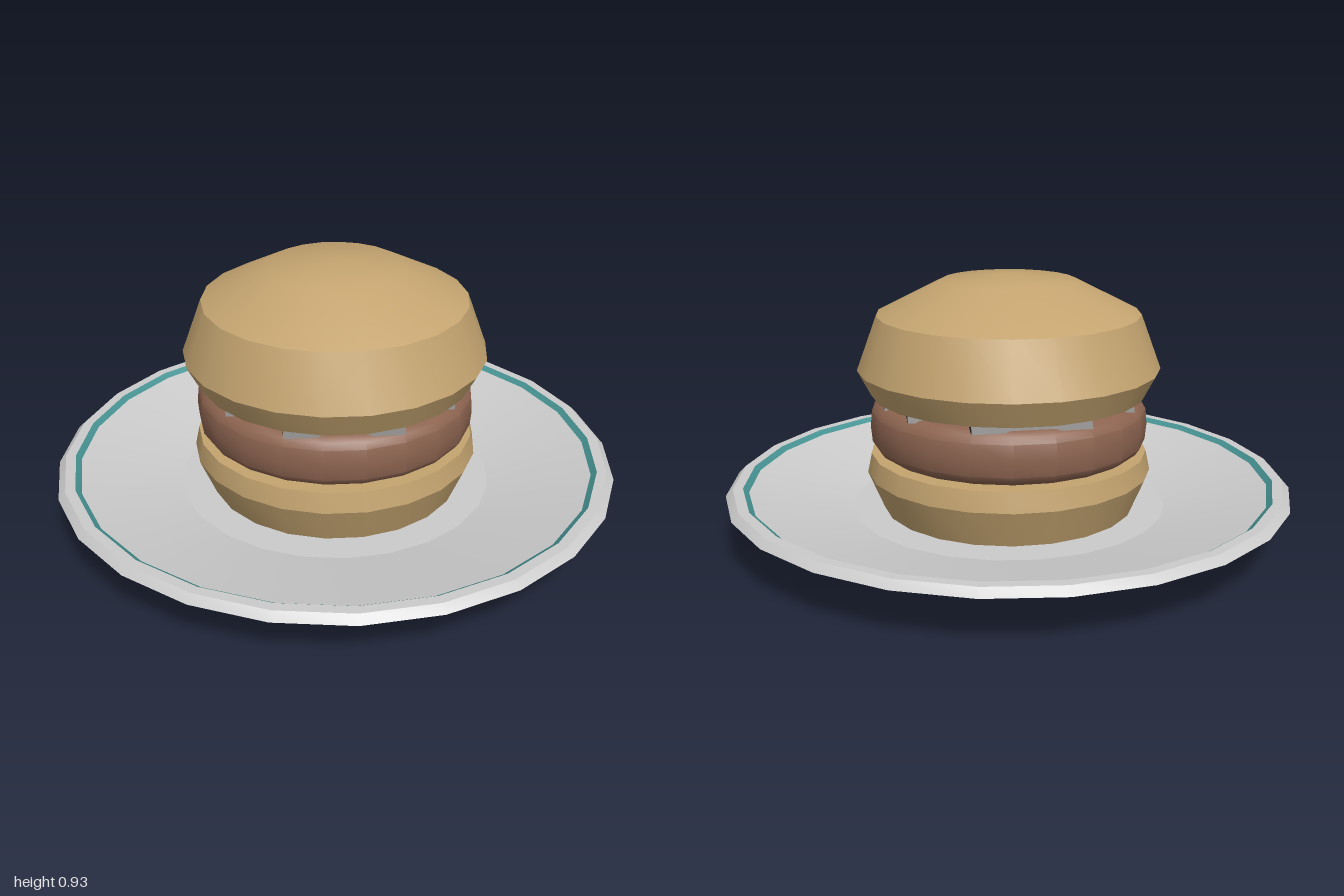
import * as THREE from 'three';
import { toCreasedNormals } from 'three/addons/utils/BufferGeometryUtils.js';

const V = (pts) => pts.map(([r, y]) => new THREE.Vector2(r, y));
const mat = (color, side = THREE.FrontSide) => new THREE.MeshStandardMaterial({ color, side });

// Turned part: soft around the axis, sharp at strong profile corners
function turned(name, pts, sides, material) {
  const lathe = new THREE.LatheGeometry(V(pts), sides, Math.PI / 2);
  const mesh = new THREE.Mesh(toCreasedNormals(lathe, 0.52), material);
  mesh.name = name;
  return mesh;
}

export function createModel() {
  const group = new THREE.Group();
  group.name = 'burgerOnPlate';
  const china = mat(0xcccccc);
  const bun = mat(0xc4a470);
  const meat = mat(0x8d6450);
  const glaze = mat(0x479393, THREE.DoubleSide);
  const char = mat(0x383430);

  // Plate: underside and rim, glazed band, sloping well, flat floor
  group.add(
    turned('plateUnderside', [[0, 0], [0.56, 0], [0.6, 0.035], [1, 0.175], [0.975, 0.2], [0.94, 0.2]], 24, china),
    turned('plateBand', [[0.94, 0.2], [0.92, 0.185]], 24, glaze),
    turned('plateWell', [[0.92, 0.185], [0.56, 0.1]], 24, china),
    turned('plateFloor', [[0.56, 0.1], [0, 0.1]], 24, china),
  );

  // Lower bun
  group.add(turned('lowerBun',
    [[0, 0.102], [0.45, 0.102], [0.505, 0.235], [0.49, 0.305], [0, 0.305]], 22, bun));

  // Patty with rounded edge
  const edge = [[0, 0.307]];
  for (let i = 0; i <= 8; i++) {
    const a = -Math.PI / 2 + (i / 8) * Math.PI;
    const lift = i < 4 ? -0.03 : i > 4 ? 0.03 : 0;
    edge.push([0.425 + 0.065 * Math.cos(a), 0.403 + lift + 0.065 * Math.sin(a)]);
  }
  edge.push([0, 0.498]);
  group.add(turned('patty', edge, 22, meat));

  // Grill bars across the patty, narrower at the top
  const bars = new THREE.Group();
  bars.name = 'grillBars';
  const section = new THREE.Shape(V([[-0.035, 0.488], [0.035, 0.488], [0.018, 0.514], [-0.018, 0.514]]));
  for (const z of [-0.41, -0.245, -0.082, 0.082, 0.245, 0.41]) {
    const half = Math.sqrt(0.455 ** 2 - z * z);
    const bar = new THREE.Mesh(
      new THREE.ExtrudeGeometry(section, { depth: 2 * half, bevelEnabled: false }), char);
    bar.name = 'grillBar';
    bar.rotation.y = Math.PI / 2;
    bar.position.set(-half, 0, z);
    bars.add(bar);
  }
  group.add(bars);

  // Domed upper bun
  group.add(turned('upperBun',
    [[0, 0.515], [0.485, 0.515], [0.532, 0.605], [0.462, 0.793], [0.235, 0.908], [0, 0.932]], 22, bun));

  return group;
}
